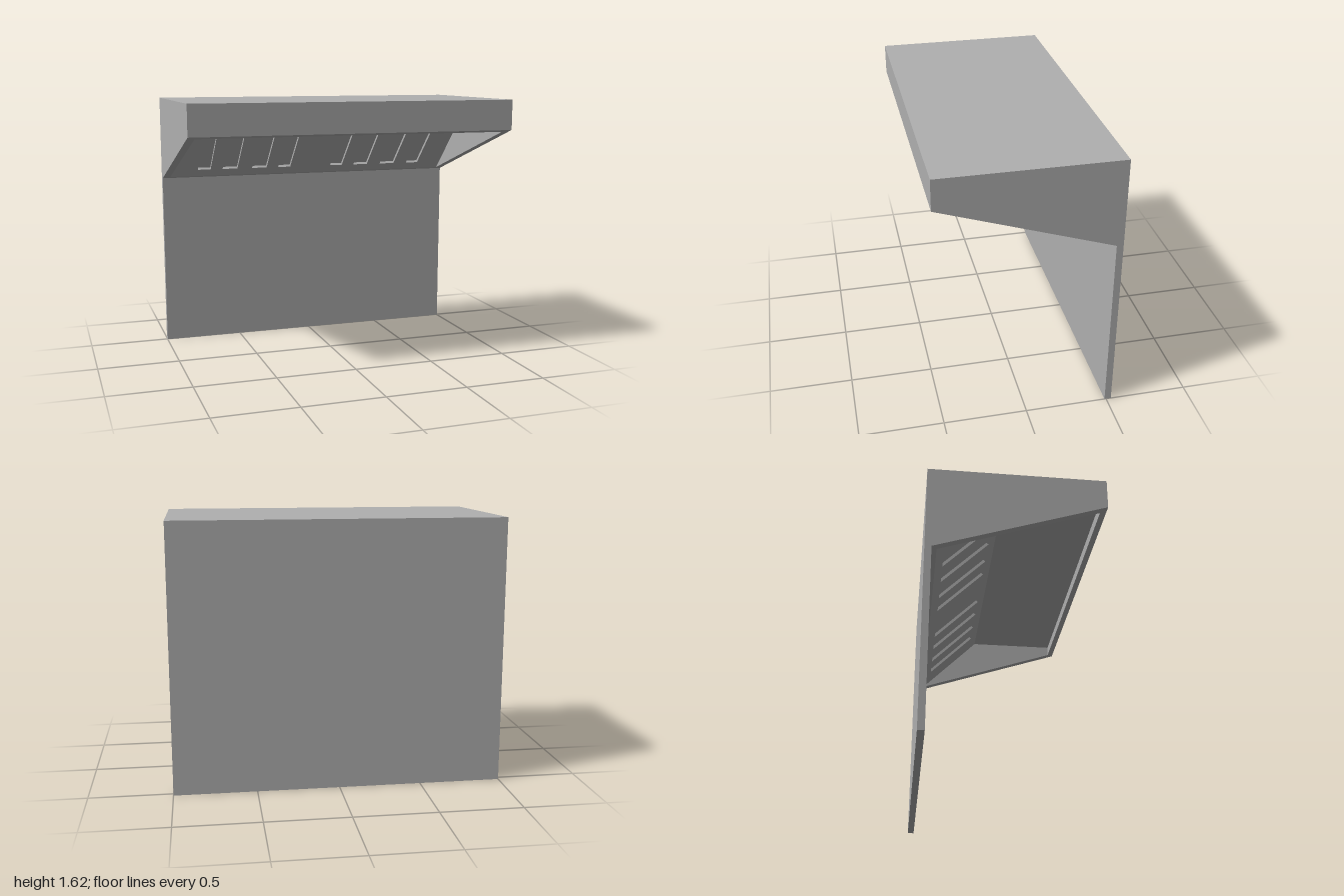
import * as THREE from 'three';

const HALF = 1, CHEEK = 0.045, TOP = 1.625, BACK = -0.53, FRONT = 0.53;
const WALL_FRONT = -0.49, CEILING = 1.49;
const SLOT_DEPTH = 0.018;

export function createModel() {
  const group = new THREE.Group();
  const grey = new THREE.MeshStandardMaterial({ color: 0xb0b0b0 });
  grey.name = 'plain grey';

  const add = (name, geometry) => {
    const mesh = new THREE.Mesh(geometry, grey);
    mesh.name = name;
    group.add(mesh);
    return mesh;
  };

  // Extrude a side profile of [z, y] points from x0 to x1
  const extrudeAcross = (name, points, x0, x1) => {
    const shape = new THREE.Shape(points.map(([z, y]) => new THREE.Vector2(-z, y)));
    const geo = new THREE.ExtrudeGeometry(shape, { depth: x1 - x0, bevelEnabled: false });
    geo.rotateY(Math.PI / 2);
    geo.translate(x0, 0, 0);
    return add(name, geo);
  };

  // Wall and canopy end plates, with the sloping lower edge
  const endProfile = [
    [BACK, 0], [WALL_FRONT, 0], [WALL_FRONT, 1.1], [FRONT, 1.44], [FRONT, TOP], [BACK, TOP],
  ];
  extrudeAcross('rightEnd', endProfile, -HALF, -HALF + CHEEK);
  extrudeAcross('leftEnd', endProfile, HALF - CHEEK, HALF);

  // Wall and canopy between the ends, hollowed from below
  const s = SLOT_DEPTH * Math.SQRT1_2;
  const low = [-0.46, 1.11], high = [low[0] + CEILING - low[1], CEILING];
  extrudeAcross('wallAndCanopy', [
    [BACK, 0], [WALL_FRONT, 0], [WALL_FRONT, 1.1], low,
    [low[0] - s, low[1] + s], [high[0] - s, high[1] + s], high,
    [0.49, CEILING], [0.49, 1.427], [FRONT, 1.44], [FRONT, TOP], [BACK, TOP],
  ], -HALF + CHEEK, HALF - CHEEK);

  // Slanted panel with eight slots
  const rect = (Type, x0, y0, x1, y1) => new Type([
    new THREE.Vector2(x0, y0), new THREE.Vector2(x1, y0),
    new THREE.Vector2(x1, y1), new THREE.Vector2(x0, y1),
  ]);
  const w = HALF - CHEEK, length = (high[1] - low[1]) * Math.SQRT2;
  const panel = rect(THREE.Shape, -w, 0, w, length);
  const slots = [
    [-0.78, -0.695], [-0.615, -0.515], [-0.415, -0.315], [-0.235, -0.15],
    [0.135, 0.22], [0.305, 0.405], [0.5, 0.605], [0.7, 0.785],
  ];
  for (const [a, b] of slots) {
    panel.holes.push(rect(THREE.Path, a, 0.065, b, length - 0.06));
  }
  const slotted = add('slottedPanel',
    new THREE.ExtrudeGeometry(panel, { depth: SLOT_DEPTH, bevelEnabled: false }));
  slotted.rotation.x = Math.PI / 4;
  slotted.position.set(0, low[1] + s, low[0] - s);

  return group;
}
